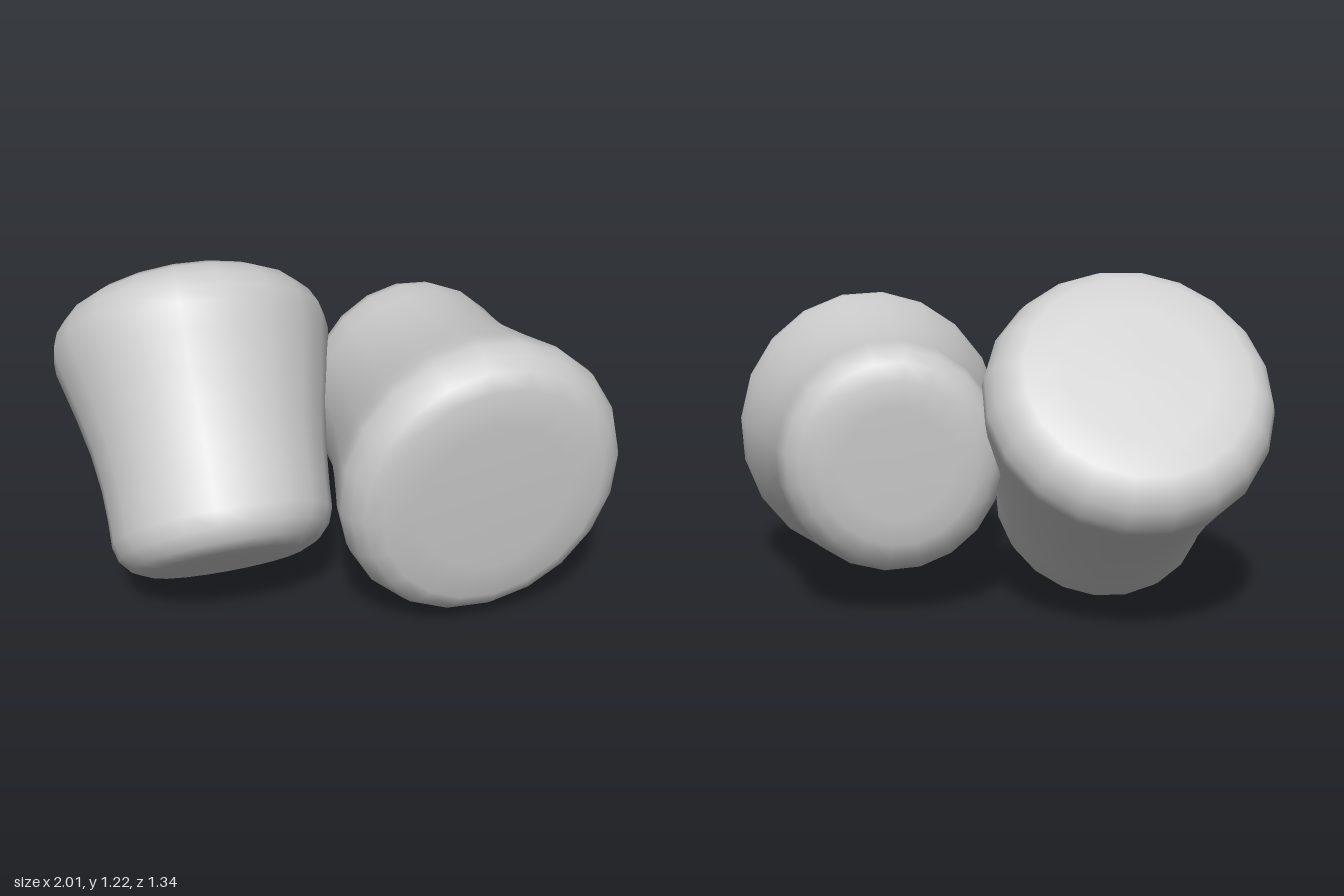
import * as THREE from 'three';
import { mergeVertices } from 'three/addons/utils/BufferGeometryUtils.js';

// Flared plug profile: [radius, height] from the narrow end to the wide end
const PROFILE = [
  [0, 0], [0.2, 0], [0.29, 0.004], [0.35, 0.03], [0.39, 0.075], [0.407, 0.13], [0.407, 0.22],
  [0.413, 0.34], [0.433, 0.48], [0.463, 0.61], [0.495, 0.73], [0.517, 0.81], [0.519, 0.86],
  [0.5, 0.915], [0.465, 0.96], [0.41, 0.992], [0.28, 1], [0, 1],
];

// One soft plug between two end-face centres; each end face leans by its own slope
// and the waist is fuller on the left side and underneath
function makePlug(name, { narrowEnd, wideEnd, narrowSlope, wideSlope, down, fillUnder, scaleZ }) {
  let geometry = new THREE.LatheGeometry(PROFILE.map(([r, h]) => new THREE.Vector2(r, h)), 20);
  geometry.deleteAttribute('uv');
  geometry.deleteAttribute('normal');
  geometry = mergeVertices(geometry);
  const points = geometry.attributes.position;
  for (let i = 0; i < points.count; i++) {
    const [x, h, z] = [points.getX(i), points.getY(i), points.getZ(i)];
    const waist = Math.sin(Math.PI * h);
    points.setXYZ(i,
      x > 0 ? x * (1 + 0.08 * waist) : x,
      h + z * THREE.MathUtils.lerp(narrowSlope, wideSlope, h),
      z * down > 0 ? z * (1 + fillUnder * waist) : z);
  }
  geometry.computeVertexNormals();

  const plug = new THREE.Mesh(geometry, new THREE.MeshStandardMaterial({ color: 0xcccccc }));
  const start = new THREE.Vector3(...narrowEnd);
  const axis = new THREE.Vector3(...wideEnd).sub(start);
  plug.name = name;
  plug.scale.set(0.975, axis.length(), scaleZ);
  plug.position.copy(start);
  plug.quaternion.setFromUnitVectors(new THREE.Vector3(0, 1, 0), axis.normalize());
  return plug;
}

export function createModel() {
  const group = new THREE.Group();
  group.name = 'marshmallowPair';
  // Lying piece, wide end to the front
  group.add(makePlug('leftMarshmallow', {
    narrowEnd: [0.315, 0.595, -0.41], wideEnd: [0.53, 0.557, 0.57],
    narrowSlope: 0.08, wideSlope: -0.05, down: 1, fillUnder: 0.01, scaleZ: 1.025,
  }));
  // Leaning piece, wide end up and to the back
  group.add(makePlug('rightMarshmallow', {
    narrowEnd: [-0.385, 0.21, 0.345], wideEnd: [-0.515, 0.92, -0.372],
    narrowSlope: -0.12, wideSlope: -0.025, down: -1, fillUnder: 0.05, scaleZ: 1.03,
  }));
  return group;
}
